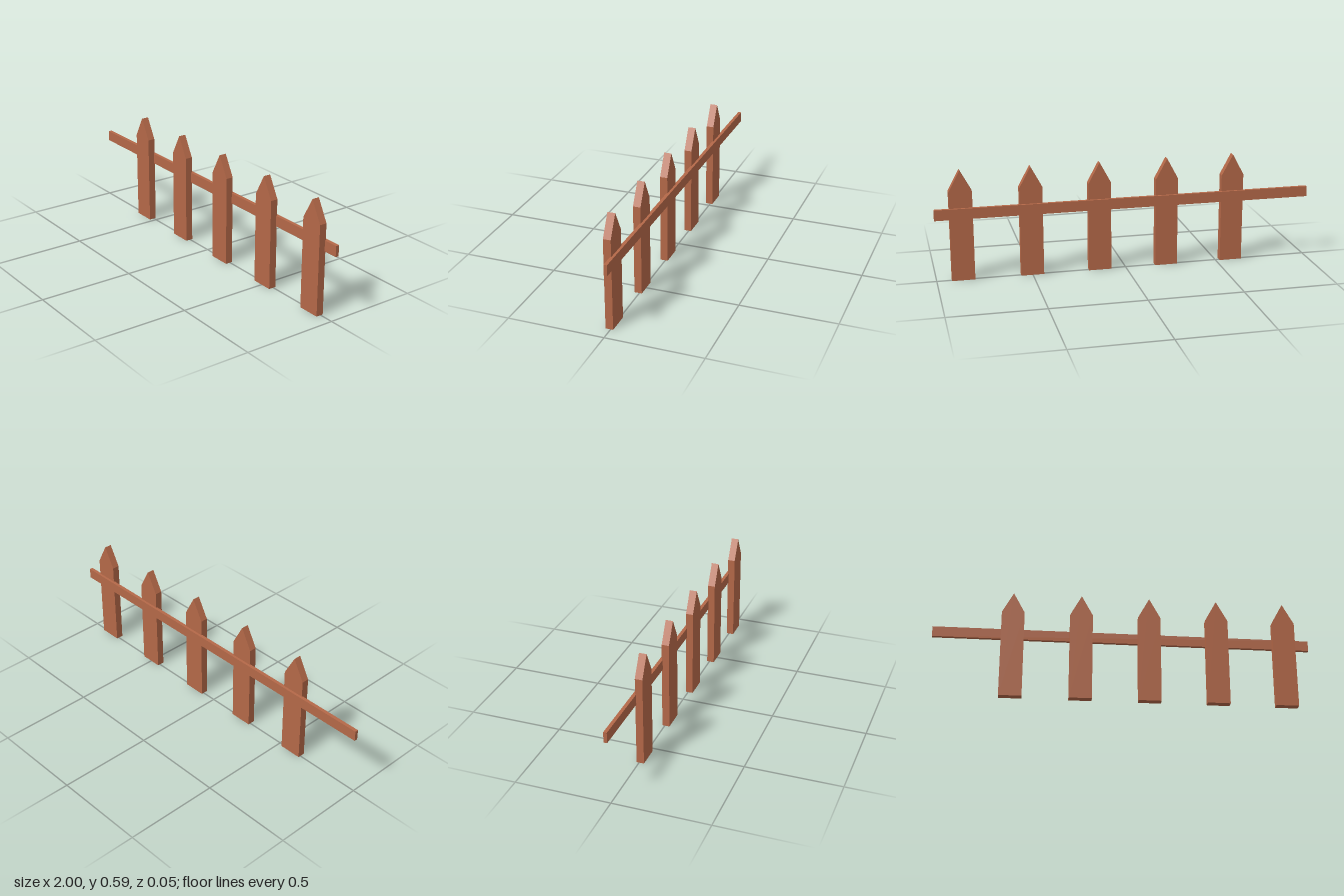
import * as THREE from 'three';

export function createModel() {
  const fence = new THREE.Group();
  fence.name = 'picketFence';
  const wood = new THREE.MeshStandardMaterial({ color: 0xb46848 });
  wood.name = 'reddish brown wood';

  // Pointed board outline, extruded to its thickness
  const half = 0.06, shoulder = 0.476, tip = 0.587;
  const outline = new THREE.Shape([
    new THREE.Vector2(-half, 0),
    new THREE.Vector2(half, 0),
    new THREE.Vector2(half, shoulder),
    new THREE.Vector2(0, tip),
    new THREE.Vector2(-half, shoulder),
  ]);
  const picketGeometry = new THREE.ExtrudeGeometry(outline, { depth: 0.039, bevelEnabled: false });

  // Five evenly spaced pickets
  for (let i = 0; i < 5; i++) {
    const picket = new THREE.Mesh(picketGeometry, wood);
    picket.name = `picket${i + 1}`;
    picket.position.set(-0.582 + i * 0.361, 0, -0.013);
    fence.add(picket);
  }

  // Long rail set slightly into the backs of the pickets
  const rail = new THREE.Mesh(new THREE.BoxGeometry(2, 0.056, 0.018), wood);
  rail.name = 'rail';
  rail.position.set(0, 0.362, -0.017);
  fence.add(rail);

  return fence;
}
